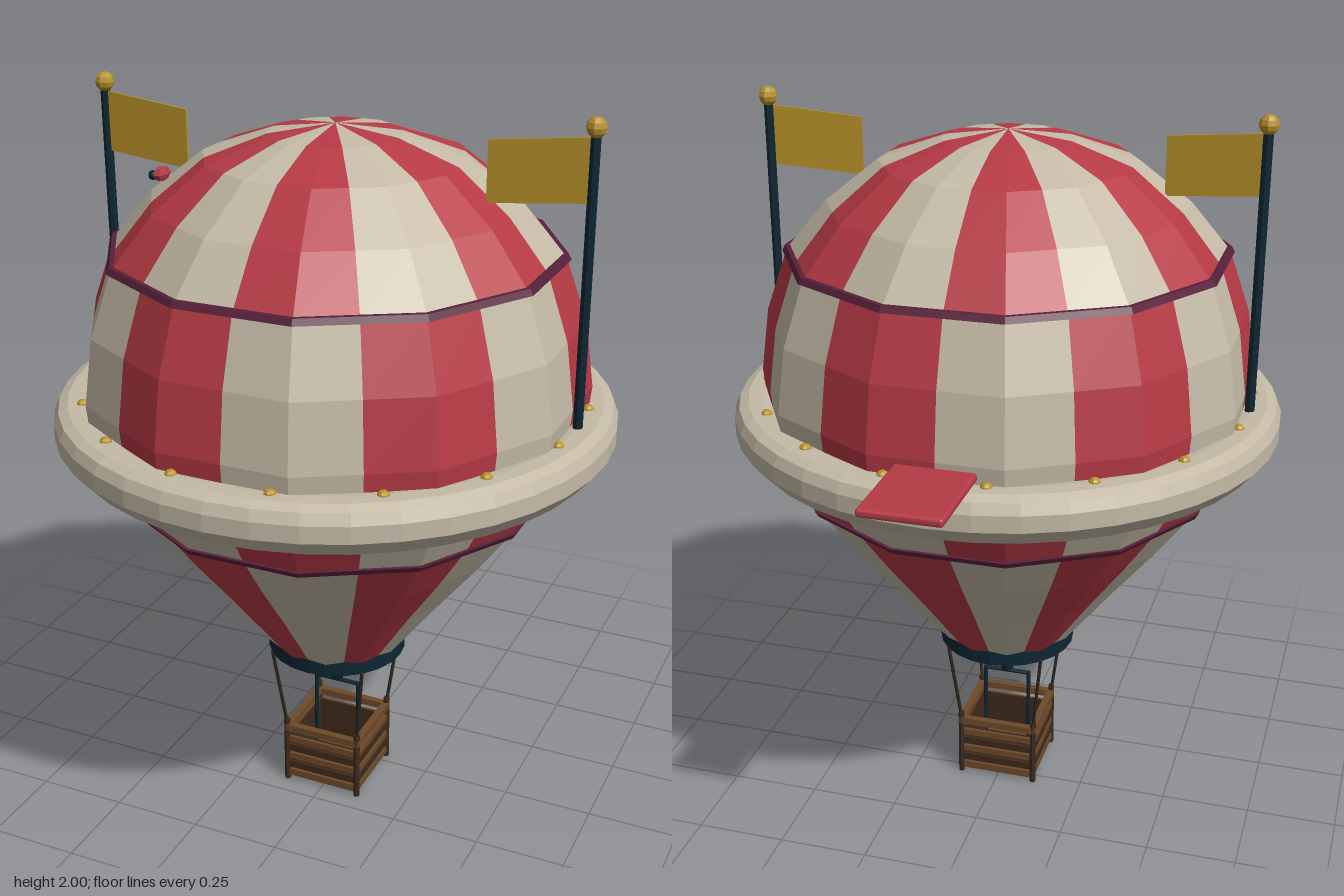
import * as THREE from 'three';
import { RoundedBoxGeometry } from 'three/addons/geometries/RoundedBoxGeometry.js';

const paint = (name, color, flat = true) => {
  const m = new THREE.MeshStandardMaterial({ color, flatShading: flat });
  m.name = name;
  return m;
};

export function createModel() {
  const model = new THREE.Group();
  model.name = 'hotAirBalloon';
  const craft = new THREE.Group(); // everything is centred on the balloon axis
  craft.name = 'craft';
  craft.position.z = 0.08;
  model.add(craft);

  const cream = paint('cream', 0xc4baa6);
  const red = paint('red', 0xb63a45);
  const plum = paint('plum', 0x58203a);
  const gold = paint('gold', 0xb8922a);
  const navy = paint('navy', 0x0d2632);
  const rope = paint('rope', 0x2c2822);
  const wood = paint('wood', 0x6e4a2a);
  const darkWood = paint('darkWood', 0x3f2a1c);
  gold.side = THREE.DoubleSide;

  const add = (name, geo, mat, x = 0, y = 0, z = 0) => {
    const mesh = new THREE.Mesh(geo, mat);
    mesh.name = name;
    mesh.position.set(x, y, z);
    craft.add(mesh);
    return mesh;
  };
  const box = (w, h, d) => new THREE.BoxGeometry(w, h, d);
  const rod = (name, a, b, r, mat, sides = 6) => {
    const p = new THREE.Vector3(...a), q = new THREE.Vector3(...b);
    const mesh = add(name, new THREE.CylinderGeometry(r, r, p.distanceTo(q), sides), mat);
    mesh.position.copy(p).add(q).multiplyScalar(0.5);
    mesh.quaternion.setFromUnitVectors(new THREE.Vector3(0, 1, 0), q.sub(p).normalize());
    return mesh;
  };

  // Twelve-sided shell: facet corners lie midway through each 30 degree stripe
  const shell = (rows, stripes) => {
    const pos = [], step = Math.PI / 12;
    const point = (k, [r, y]) => {
      const s = k % 2 ? r / Math.cos(step) : r;
      return [Math.sin(k * step) * s, y, Math.cos(k * step) * s];
    };
    for (const stripe of stripes)
      for (const k of [2 * stripe, 2 * stripe + 1])
        for (let i = 0; i + 1 < rows.length; i++) {
          const a = point(k, rows[i]), b = point(k + 1, rows[i]);
          const c = point(k + 1, rows[i + 1]), d = point(k, rows[i + 1]);
          pos.push(...a, ...b, ...c);
          if (rows[i + 1][0] > 0) pos.push(...a, ...c, ...d);
        }
    const geo = new THREE.BufferGeometry();
    geo.setAttribute('position', new THREE.Float32BufferAttribute(pos, 3));
    geo.computeVertexNormals();
    return geo;
  };
  const even = [0, 2, 4, 6, 8, 10], odd = even.map((k) => k + 1);

  // Envelope: four bands with stripes swapping colour at each seam
  const bands = [
    ['lowerCone', [[0.185, 0.465], [0.33, 0.66], [0.45, 0.815], [0.555, 0.96]]],
    ['lowerBelt', [[0.555, 0.96], [0.61, 1.055], [0.64, 1.13]]],
    ['upperBelt', [[0.64, 1.13], [0.652, 1.26], [0.628, 1.435], [0.57, 1.605]]],
    ['crown', [[0.57, 1.605], [0.465, 1.735], [0.33, 1.845], [0.17, 1.902], [0, 1.925]]],
  ];
  bands.forEach(([name, rows], i) => {
    add(name + 'Cream', shell(rows, i % 2 ? odd : even), cream);
    add(name + 'Red', shell(rows, i % 2 ? even : odd), red);
  });

  // Seam tapes
  const all = [...even, ...odd];
  const tape = (r, y, dr) => shell([
    [r - dr - 0.01, y - 0.008], [r - dr + 0.006, y - 0.008],
    [r + dr + 0.006, y + 0.008], [r + dr - 0.01, y + 0.008]], all);
  add('upperSeam', tape(0.572, 1.607, -0.004), plum);
  add('lowerSeam', tape(0.557, 0.957, 0.005), plum);

  // Padded ring with studs
  const ring = [[0.6, 1.06], [0.64, 1.055], [0.71, 1.085], [0.748, 1.13], [0.748, 1.175],
    [0.735, 1.203], [0.71, 1.215], [0.67, 1.215], [0.6, 1.205]];
  add('ring', new THREE.LatheGeometry(ring.map((p) => new THREE.Vector2(...p)), 40), cream);
  for (let i = 0; i < 16; i++) {
    const a = (i + 0.5) * Math.PI / 8;
    add('stud', new THREE.SphereGeometry(0.017, 8, 6), gold, Math.sin(a) * 0.67, 1.21, Math.cos(a) * 0.67);
  }

  // Flag poles, finials and flags pointing inward
  for (const s of [-1, 1]) {
    rod('flagPole', [s * 0.667, 1.18, 0], [s * 0.667, 1.97, 0], 0.013, navy, 8);
    add('finial', new THREE.SphereGeometry(0.026, 8, 6), gold, s * 0.667, 1.974, 0);
    const flag = new THREE.Shape([[0, 1.95], [0.245, 1.927], [0.245, 1.772], [0, 1.792]]
      .map(([x, y]) => new THREE.Vector2(-s * x, y)));
    const cloth = add('flag', new THREE.ExtrudeGeometry(flag, { depth: 0.006, bevelEnabled: false }),
      gold, s * 0.655, 0, 0);
    cloth.rotation.y = s * 0.085;
  }

  // Rear board
  add('rearBoard', new RoundedBoxGeometry(0.212, 0.022, 0.3, 2, 0.008), red, 0, 1.233, -0.765);

  // Tiny perched bird on the crown
  const bird = add('birdBody', new THREE.SphereGeometry(0.022, 6, 4), red, -0.402, 1.795, 0.175);
  bird.scale.set(0.8, 0.9, 1.5);
  add('birdHead', new THREE.SphereGeometry(0.013, 6, 4), navy, -0.435, 1.785, 0.165);

  // Collar, burner and flame
  add('collar', new THREE.CylinderGeometry(0.195, 0.195, 0.044, 24), navy, 0, 0.456, 0);
  add('burner', new THREE.CylinderGeometry(0.03, 0.017, 0.045, 8), navy, 0, 0.332, 0);
  const flame = [[0, 0.345], [0.02, 0.36], [0.034, 0.39], [0.034, 0.415], [0.02, 0.437], [0, 0.445]];
  add('flame', new THREE.LatheGeometry(flame.map((p) => new THREE.Vector2(...p)), 8), gold);
  for (const s of [-1, 1]) rod('burnerPost', [s * 0.066, 0.02, 0], [s * 0.066, 0.308, 0], 0.006, navy);
  rod('burnerBar', [-0.07, 0.304, 0], [0.07, 0.304, 0], 0.006, navy);

  // Basket: floor, slatted walls, rail, corner posts and ropes
  add('basketFloor', box(0.22, 0.014, 0.22), wood, 0, 0.017, 0);
  for (let side = 0; side < 4; side++) {
    const wall = new THREE.Group();
    wall.name = 'basketWall';
    wall.rotation.y = side * Math.PI / 2;
    craft.add(wall);
    const part = (name, geo, mat, y, z) => {
      const m = add(name, geo, mat, 0, y, z);
      wall.add(m);
    };
    part('liner', box(0.21, 0.135, 0.006), darkWood, 0.083, 0.102);
    for (let i = 0; i < 5; i++)
      part('slat', box(0.216, 0.019, 0.01), i % 2 ? darkWood : wood, 0.025 + i * 0.0285, 0.109);
    part('rail', box(0.23, 0.02, 0.02), wood, 0.178, 0.108);
  }
  for (const x of [-1, 1]) for (const z of [-1, 1]) {
    rod('cornerPost', [x * 0.11, 0, z * 0.11], [x * 0.11, 0.205, z * 0.11], 0.009, darkWood);
    rod('rope', [x * 0.11, 0.19, z * 0.11], [x * 0.138, 0.44, z * 0.138], 0.005, rope);
  }

  return model;
}
